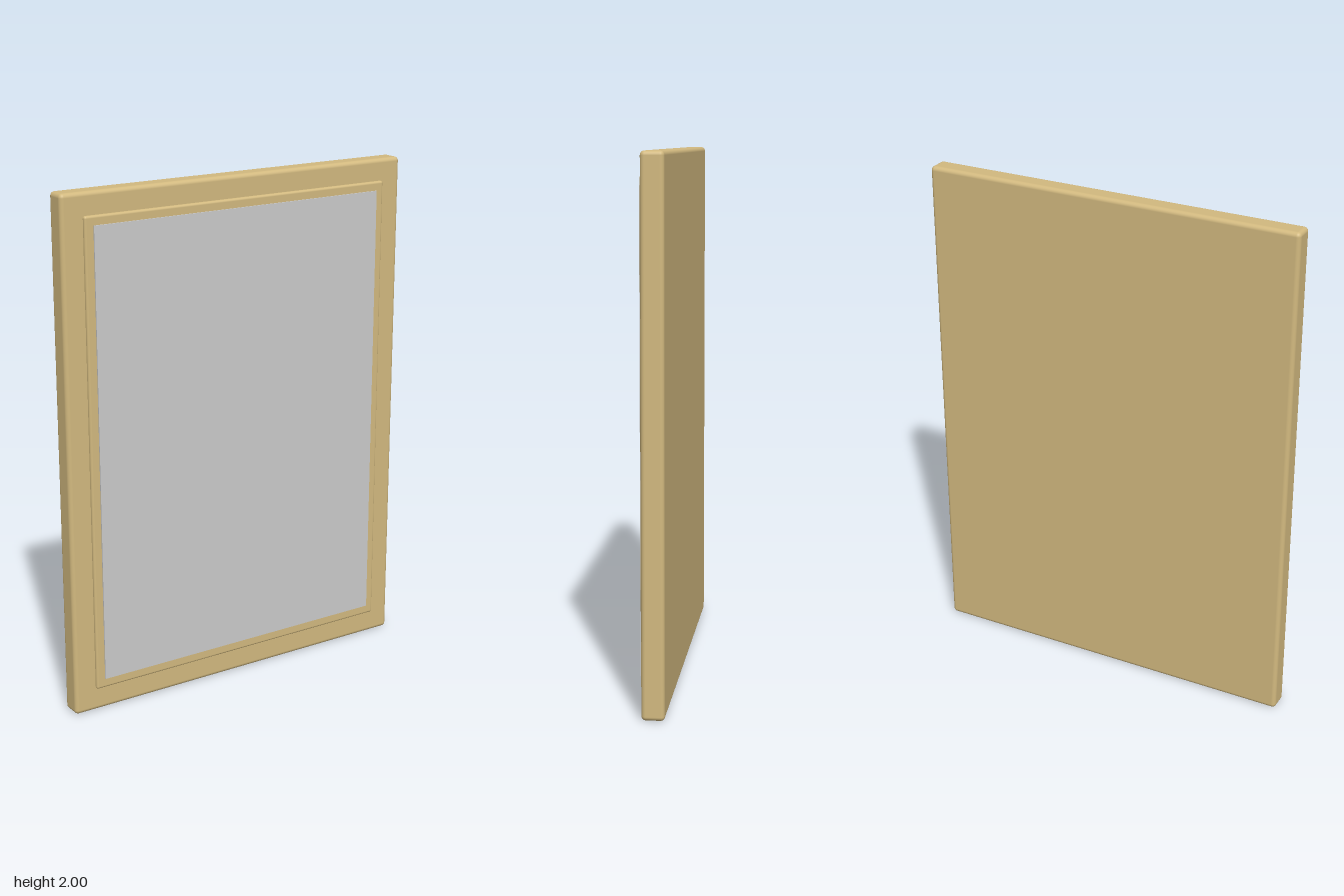
import * as THREE from 'three';
import { RoundedBoxGeometry } from 'three/addons/geometries/RoundedBoxGeometry.js';

export function createModel() {
  const model = new THREE.Group();
  model.name = 'framedPanel';
  const wood = new THREE.MeshStandardMaterial({ color: 0xd2b97f });
  const grey = new THREE.MeshStandardMaterial({ color: 0xcccccc });

  // Places a slab by its vertical extent and its back and front depth.
  function slab(name, width, y0, y1, z0, z1, radius, material) {
    const size = [width, y1 - y0, z1 - z0];
    const geometry = radius
      ? new RoundedBoxGeometry(...size, 4, radius)
      : new THREE.BoxGeometry(...size);
    const mesh = new THREE.Mesh(geometry, material);
    mesh.name = name;
    mesh.position.set(0, (y0 + y1) / 2, (z0 + z1) / 2);
    model.add(mesh);
  }

  // Thick rounded backing board
  slab('backBoard', 1.494, 0, 2, -0.051, 0.033, 0.016, wood);
  // Raised border, sunk into the board
  slab('raisedBorder', 1.32, 0.09, 1.915, 0.005, 0.045, 0.009, wood);
  // Thin flat sheet on the front
  slab('displaySheet', 1.25, 0.128, 1.88, 0.03, 0.05, 0, grey);

  return model;
}
